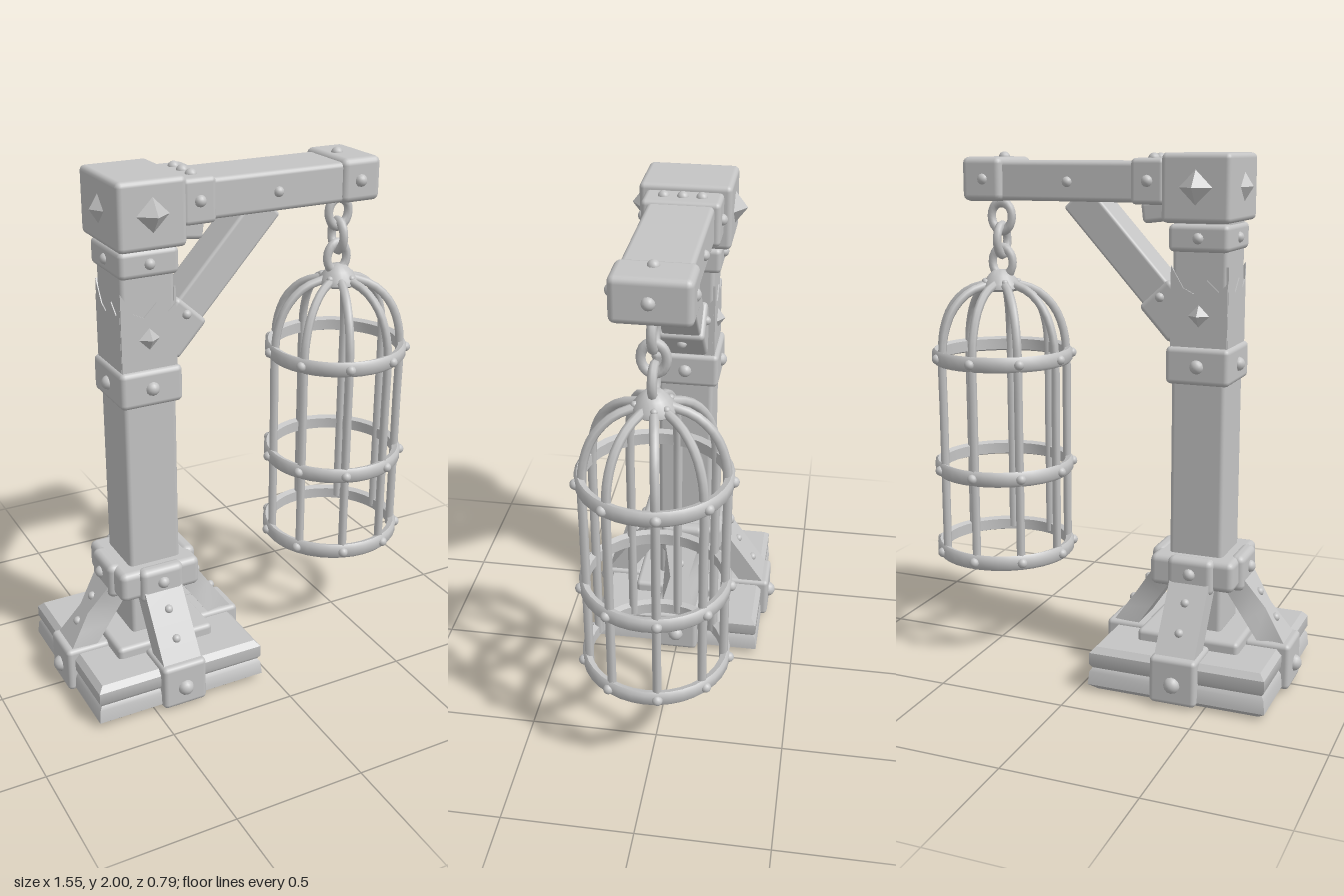
import * as THREE from 'three';
import { RoundedBoxGeometry } from 'three/addons/geometries/RoundedBoxGeometry.js';
import { toCreasedNormals } from 'three/addons/utils/BufferGeometryUtils.js';

const grey = new THREE.MeshStandardMaterial({ color: 0xc4c4c4 });
grey.name = 'paleGrey';

const POST_X = -0.385, CAGE_X = 0.472;
const v2 = (pts) => pts.map(([x, y]) => new THREE.Vector2(x, y));

function add(parent, name, geometry, x = 0, y = 0, z = 0) {
  const mesh = new THREE.Mesh(geometry, grey);
  mesh.name = name;
  mesh.position.set(x, y, z);
  parent.add(mesh);
  return mesh;
}

function group(parent, name, x = 0, y = 0, z = 0) {
  const g = new THREE.Group();
  g.name = name;
  g.position.set(x, y, z);
  parent.add(g);
  return g;
}

// Box with softened edges, centred at x, y, z
function block(parent, name, w, h, d, x, y, z, r = 0.018) {
  return add(parent, name, new RoundedBoxGeometry(w, h, d, 2, r), x, y, z);
}

// Half-round bolt head pointing along a direction
const boltGeo = new THREE.SphereGeometry(1, 12, 6, 0, Math.PI * 2, 0, Math.PI / 2);
const UP = new THREE.Vector3(0, 1, 0);
function bolt(parent, r, x, y, z, dx, dy, dz) {
  const m = add(parent, 'bolt', boltGeo, x, y, z);
  m.quaternion.setFromUnitVectors(UP, new THREE.Vector3(dx, dy, dz).normalize());
  m.scale.setScalar(r);
  return m;
}

// Four-sided pyramid stud pointing along a direction
const studGeo = toCreasedNormals(new THREE.ConeGeometry(1, 1, 4).translate(0, 0.5, 0), 0.3);
function stud(parent, r, h, x, y, z, dx, dz) {
  const m = add(parent, 'diamondStud', studGeo, x, y, z);
  m.quaternion.setFromUnitVectors(UP, new THREE.Vector3(dx, 0, dz));
  m.scale.set(r, h, r);
}

// Square solid from [half width, y] steps
function squareLoft(steps) {
  const pts = v2(steps.map(([h, y]) => [h * Math.SQRT2, y]));
  return toCreasedNormals(new THREE.LatheGeometry(pts, 4, Math.PI / 4), 0.6);
}

function makeBase(root) {
  const base = group(root, 'base', POST_X);
  add(base, 'slab', squareLoft([[0, 0], [0.315, 0], [0.345, 0.025], [0.34, 0.075], [0.33, 0.09],
    [0.34, 0.105], [0.34, 0.15], [0.32, 0.172], [0, 0.172]]));
  block(base, 'plinth', 0.4, 0.07, 0.4, 0, 0.18, 0);
  block(base, 'footCollar', 0.33, 0.12, 0.33, 0, 0.45, 0, 0.025);
  for (let i = 0; i < 4; i++) {
    const side = group(base, 'baseSide');
    side.rotation.y = i * Math.PI / 2;
    // Metal clip over the slab edge
    block(side, 'edgeClip', 0.18, 0.18, 0.18, 0, 0.1, 0.28);
    bolt(side, 0.032, 0, 0.09, 0.365, 0, 0, 1);
    // Leaning strut, waisted on the two ends
    const strut = group(side, 'strut', 0, 0.285, 0.225);
    strut.rotation.x = -0.6;
    const geo = new THREE.BoxGeometry(0.155, 0.32, 0.085, 1, 4, 1);
    if (i % 2) {
      const p = geo.attributes.position;
      for (let k = 0; k < p.count; k++) {
        if (p.getZ(k) > 0) p.setX(k, p.getX(k) * (0.5 + 3 * Math.abs(p.getY(k))));
      }
      geo.computeVertexNormals();
    }
    add(strut, 'strutBeam', toCreasedNormals(geo, 0.6));
    for (const y of [-0.055, 0.06]) bolt(strut, 0.017, 0, y, 0.04, 0, 0, 1);
    // Bracket joining strut and collar
    block(side, 'collarBracket', 0.18, 0.14, 0.06, 0, 0.445, 0.155, 0.025);
    bolt(side, 0.024, 0, 0.455, 0.182, 0, 0, 1);
  }
}

function makePost(root) {
  const post = group(root, 'post', POST_X);
  block(post, 'postShaft', 0.21, 1.6, 0.22, 0, 1, 0);
  block(post, 'middleCollar', 0.245, 0.14, 0.265, 0, 1.235, 0, 0.02);
  block(post, 'upperCollar', 0.23, 0.1, 0.27, 0, 1.7, 0, 0.02);
  block(post, 'postCap', 0.26, 0.245, 0.345, 0, 1.877, 0, 0.02);
  // Sleeve plates with a jagged upper edge
  const jag = new THREE.Shape(v2([[-0.108, 1.3], [0.108, 1.3], [0.108, 1.54], [0.075, 1.51],
    [0.03, 1.55], [-0.02, 1.5], [-0.06, 1.52], [-0.108, 1.6]]));
  const jagGeo = new THREE.ExtrudeGeometry(jag, { depth: 0.009, bevelEnabled: false });
  for (let i = 0; i < 4; i++) {
    const holder = group(post, 'sleeveSide');
    holder.rotation.y = i * Math.PI / 2;
    add(holder, 'sleevePlate', jagGeo, 0, 0, i % 2 ? 0.1 : 0.106);
  }
  for (const s of [-1, 1]) {
    bolt(post, 0.027, 0, 1.235, s * 0.128, 0, 0, s);
    bolt(post, 0.027, s * 0.118, 1.235, 0, s, 0, 0);
    bolt(post, 0.021, 0, 1.7, s * 0.132, 0, 0, s);
    bolt(post, 0.021, s * 0.11, 1.7, 0, s, 0, 0);
    stud(post, 0.042, 0.03, 0, 1.42, s * 0.114, 0, s);
    stud(post, 0.065, 0.05, 0, 1.88, s * 0.17, 0, s);
  }
  stud(post, 0.055, 0.035, -0.128, 1.88, 0, -1, 0);
}

function makeArm(root) {
  const arm = group(root, 'arm');
  block(arm, 'armBeam', 0.8, 0.148, 0.245, 0.14, 1.895, 0);
  block(arm, 'innerBand', 0.13, 0.165, 0.29, -0.193, 1.898, 0);
  block(arm, 'endBand', 0.165, 0.165, 0.28, 0.477, 1.9, -0.005, 0.025);
  for (const z of [-0.07, 0, 0.07]) bolt(arm, 0.022, -0.193, 1.977, z, 0, 1, 0);
  bolt(arm, 0.022, 0.447, 1.98, 0, 0, 1, 0);
  bolt(arm, 0.024, 0.557, 1.9, 0, 1, 0, 0);
  for (const s of [-1, 1]) {
    bolt(arm, 0.022, -0.193, 1.9, s * 0.143, 0, 0, s);
    bolt(arm, 0.02, 0.13, 1.893, s * 0.12, 0, 0, s);
    bolt(arm, 0.024, 0.47, 1.9, s * 0.133, 0, 0, s);
  }
  // Small wedge block beneath the inner band
  block(arm, 'wedgeBlock', 0.1, 0.08, 0.18, -0.2, 1.79, 0).rotation.z = -0.12;

  // Diagonal brace with its lower shoe
  const brace = group(root, 'brace', -0.09, 1.612, 0);
  brace.rotation.z = 0.83;
  block(brace, 'braceBeam', 0.62, 0.13, 0.15, 0, 0, 0, 0.012);
  block(brace, 'braceShoe', 0.18, 0.16, 0.18, -0.25, 0, 0);
  bolt(brace, 0.02, -0.22, -0.078, 0, 0, -1, 0);
  for (const s of [-1, 1]) bolt(brace, 0.018, -0.19, 0.01, s * 0.088, 0, 0, s);
}

function makeChain(root) {
  const chain = group(root, 'chain', CAGE_X - 0.008);
  const geo = new THREE.TorusGeometry(0.044, 0.017, 8, 20).scale(1, 1.25, 1);
  [1.755, 1.663, 1.577].forEach((y, i) => {
    add(chain, 'chainLink', geo, 0, y, 0).rotation.y = (i % 2) * Math.PI / 2;
  });
}

function makeCage(root) {
  const cage = group(root, 'cage', CAGE_X);
  const hoop = toCreasedNormals(new THREE.LatheGeometry(v2([[0.248, -0.022], [0.27, -0.03],
    [0.28, -0.018], [0.28, 0.018], [0.27, 0.03], [0.248, 0.022], [0.248, -0.022]]), 36), 0.9);
  const hoopYs = [0.42, 0.76, 1.21];
  for (const y of hoopYs) add(cage, 'hoop', hoop, 0, y, 0);
  // Bars rise straight, then bend into the dome
  const path = new THREE.CatmullRomCurve3([[0.256, 0.41], [0.256, 0.7], [0.256, 1], [0.256, 1.2],
    [0.246, 1.3], [0.208, 1.395], [0.14, 1.462], [0.045, 1.495]]
    .map(([x, y]) => new THREE.Vector3(x, y, 0)));
  const barGeo = new THREE.TubeGeometry(path, 32, 0.017, 7);
  for (let i = 0; i < 9; i++) {
    const a = THREE.MathUtils.degToRad(i * 40 - 10);
    const c = Math.cos(a), s = Math.sin(a);
    add(cage, 'bar', barGeo).rotation.y = -a;
    for (const y of hoopYs) bolt(cage, 0.02, c * 0.277, y, s * 0.277, c, 0, s);
    if (i % 2 === 0) bolt(cage, 0.013, c * 0.066, 1.5, s * 0.066, c, 0.6, s);
  }
  add(cage, 'crown', toCreasedNormals(new THREE.LatheGeometry(v2([[0, 1.465], [0.065, 1.465],
    [0.078, 1.475], [0.074, 1.495], [0.05, 1.525], [0.03, 1.545], [0, 1.548]]), 20), 0.9));
}

export function createModel() {
  const model = new THREE.Group();
  model.name = 'hangingCage';
  makeBase(model);
  makePost(model);
  makeArm(model);
  makeChain(model);
  makeCage(model);
  return model;
}
